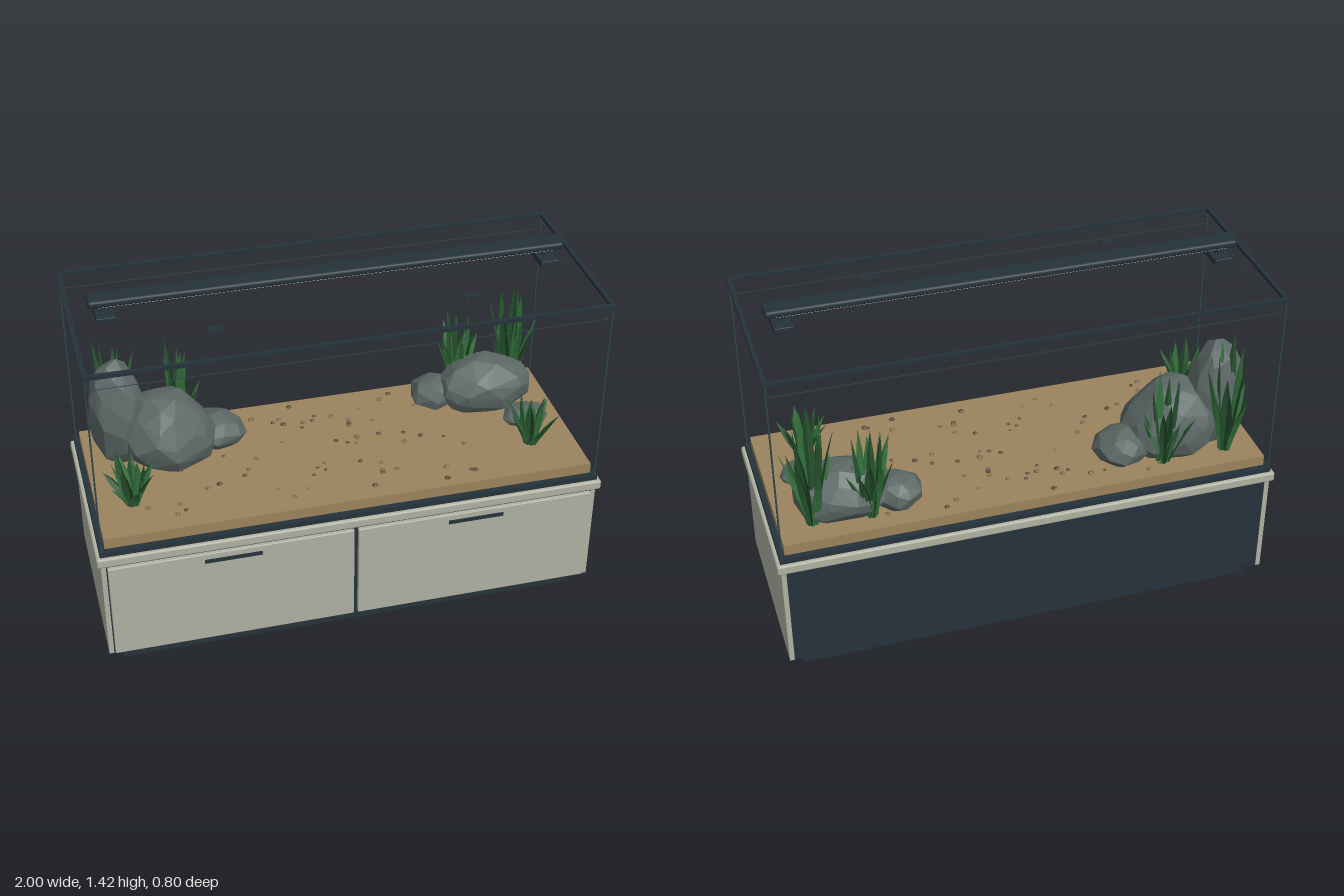
import * as THREE from 'three';
import { mergeGeometries } from 'three/addons/utils/BufferGeometryUtils.js';
import { RoundedBoxGeometry } from 'three/addons/geometries/RoundedBoxGeometry.js';
import { ConvexGeometry } from 'three/addons/geometries/ConvexGeometry.js';

function material(name, color, options = {}) {
  const m = new THREE.MeshStandardMaterial({ color, ...options });
  m.name = name;
  return m;
}

// Small seeded generator
function seeded(seed) {
  return () => {
    seed = (seed * 16807) % 2147483647;
    return seed / 2147483647;
  };
}

export function createModel() {
  const model = new THREE.Group();
  model.name = 'aquarium';

  const dark = material('dark trim', 0x25323b);
  const panel = material('cabinet panel', 0xb0b2a2);
  const sand = material('sand', 0x9c835d);
  const stone = material('stone', 0x5c6866, { flatShading: true });
  const pebbleDark = material('dark pebble', 0x5c4b38, { flatShading: true });
  const pebbleLight = material('light pebble', 0x80694c, { flatShading: true });
  const leafDark = material('dark leaf', 0x24502c, { flatShading: true, side: THREE.DoubleSide });
  const leafLight = material('light leaf', 0x33703b, { flatShading: true, side: THREE.DoubleSide });
  const seal = material('corner seal', 0x2c464c);
  const lampGlow = material('lamp diffuser', 0xd9d3b8);

  const add = (name, geometry, mat, parent = model) => {
    const mesh = new THREE.Mesh(geometry, mat);
    mesh.name = name;
    parent.add(mesh);
    return mesh;
  };
  // Box given by its limits on each axis, optionally with rounded edges
  const box = (name, [x0, x1], [y0, y1], [z0, z1], mat, radius = 0, parent = model) => {
    const size = [x1 - x0, y1 - y0, z1 - z0];
    const g = radius ? new RoundedBoxGeometry(...size, 2, radius) : new THREE.BoxGeometry(...size);
    g.translate((x0 + x1) / 2, (y0 + y1) / 2, (z0 + z1) / 2);
    return add(name, g, mat, parent);
  };
  // Open rectangular frame
  const frame = (name, x, z, width, y, mat) => {
    const group = new THREE.Group();
    group.name = name;
    for (const s of [-1, 1]) {
      const zs = [s * z, s * (z - width)].sort((a, b) => a - b);
      const xs = [s * x, s * (x - width)].sort((a, b) => a - b);
      box(name + 'Long', [-x, x], y, zs, mat, 0, group);
      box(name + 'Short', xs, y, [-z + width, z - width], mat, 0, group);
    }
    model.add(group);
  };

  // Cabinet
  box('plinth', [-0.93, 0.93], [0, 0.065], [-0.34, 0.34], dark);
  box('carcass', [-0.966, 0.966], [0.065, 0.505], [-0.382, 0.378], dark);
  box('worktop', [-1, 1], [0.505, 0.545], [-0.4, 0.4], panel, 0.008);
  for (const s of [-1, 1]) {
    const span = (a, b) => [s * a, s * b].sort((p, q) => p - q);
    box('sidePanel', span(0.966, 0.985), [0.065, 0.505], [-0.385, 0.38], panel);
    box('door', span(0.008, 0.962), [0.075, 0.493], [0.379, 0.398], panel, 0.004);
    box('handle', span(0.372, 0.595), [0.453, 0.468], [0.396, 0.403], dark);
  }

  // Tank base, sand bed, upper rim, water line and corner seals
  box('tankBase', [-0.985, 0.985], [0.545, 0.566], [-0.385, 0.385], dark);
  box('sandBed', [-0.963, 0.963], [0.566, 0.61], [-0.361, 0.361], sand);
  frame('upperRim', 0.985, 0.385, 0.018, [1.328, 1.342], dark);
  frame('waterLine', 0.965, 0.367, 0.002, [1.274, 1.276], seal);
  for (const x of [-0.976, 0.976]) for (const z of [-0.376, 0.376])
    box('cornerSeal', [x - 0.003, x + 0.003], [0.566, 1.328], [z - 0.003, z + 0.003], seal);

  // Lamp with its two feet, and the lid grips
  box('lampBar', [-0.91, 0.91], [1.396, 1.424], [-0.056, 0.028], dark, 0.01);
  box('lampDiffuser', [-0.87, 0.87], [1.393, 1.397], [-0.046, 0.018], lampGlow);
  for (const x of [-0.85, 0.85]) {
    box('lampFoot', [x - 0.036, x + 0.036], [1.342, 1.366], [-0.078, 0.05], dark, 0.003);
    box('lampStem', [x - 0.014, x + 0.014], [1.364, 1.394], [-0.03, 0.002], dark);
    box('lampCollar', [x - 0.03, x + 0.03], [1.386, 1.397], [-0.042, 0.014], dark);
  }
  for (const x of [-0.483, 0.483])
    box('lidGrip', [x - 0.028, x + 0.028], [1.35, 1.356], [0.184, 0.218], dark);

  // Faceted rocks: hull of jittered points on a tapered ellipsoid, cut off inside the sand
  const rock = (name, [cx, cy, cz], [rx, ry, rz], seed, taper = 0, lean = 0, count = 52) => {
    const rand = seeded(seed);
    const points = [];
    for (let i = 0; i < count; i++) {
      const y = 1 - (2 * (i + 0.5)) / count;
      const a = i * 2.39996 + (rand() - 0.5) * 0.5;
      const r = Math.sqrt(1 - y * y) * (1 - taper * y);
      const k = 0.95 + rand() * 0.11;
      points.push(new THREE.Vector3(
        cx + (Math.cos(a) * r * k + lean * y) * rx,
        Math.max(0.595, cy + y * k * ry),
        cz + Math.sin(a) * r * k * rz));
    }
    add(name, new ConvexGeometry(points), stone);
  };
  rock('tallRock', [-0.815, 0.82, -0.152], [0.122, 0.245, 0.108], 11, 0.12, -0.12);
  rock('leftBoulder', [-0.64, 0.72, -0.14], [0.195, 0.175, 0.175], 23, 0.12, -0.12, 64);
  rock('leftSmallRock', [-0.43, 0.655, -0.18], [0.118, 0.075, 0.115], 37, 0, -0.1, 36);
  rock('rightBoulder', [0.695, 0.69, -0.185], [0.2, 0.125, 0.135], 41, 0.1, 0, 60);
  rock('rightSmallRock', [0.49, 0.66, -0.215], [0.1, 0.07, 0.095], 53, 0, 0, 36);
  rock('frontSmallRock', [0.81, 0.645, 0.02], [0.095, 0.042, 0.08], 67, 0, 0, 36);

  // One folded, pointed blade arching outward
  const blade = (angle, height, reach, width, start) => {
    const pos = [], index = [];
    const out = [Math.cos(angle), Math.sin(angle)], side = [-out[1], out[0]];
    const widths = [0.45, 0.85, 1, 0.7, 0.03];
    widths.forEach((w, i) => {
      const t = i / (widths.length - 1);
      const r = start + reach * t ** 1.6;
      const y = height * (t - 0.12 * t * t * (reach / height)) ;
      for (const s of [-1, 0, 1]) {
        const fold = r + Math.abs(s) * w * width * 0.3;
        pos.push(out[0] * fold + side[0] * s * w * width / 2, y,
          out[1] * fold + side[1] * s * w * width / 2);
      }
      if (i) for (const k of [0, 1]) {
        const a = (i - 1) * 3 + k;
        index.push(a, a + 1, a + 3, a + 1, a + 4, a + 3);
      }
    });
    const g = new THREE.BufferGeometry();
    g.setAttribute('position', new THREE.Float32BufferAttribute(pos, 3));
    g.setIndex(index);
    g.computeVertexNormals();
    return g;
  };
  const plant = (name, x, z, height, spread, count, seed) => {
    const rand = seeded(seed);
    const group = new THREE.Group();
    group.name = name;
    group.position.set(x, 0.605, z);
    const sets = [[], []];
    for (let i = 0; i < count; i++) {
      const inner = i % 3 === 0;
      const h = height * (inner ? 0.85 + rand() * 0.15 : 0.5 + rand() * 0.35);
      const reach = spread * (inner ? 0.25 + rand() * 0.3 : 0.65 + rand() * 0.4);
      sets[i % 2].push(blade(i * 2.4 + rand() * 0.5, h, reach, 0.034 + rand() * 0.014, 0.008 + rand() * 0.012));
    }
    add('darkLeaves', mergeGeometries(sets[0]), leafDark, group);
    add('lightLeaves', mergeGeometries(sets[1]), leafLight, group);
    model.add(group);
  };
  plant('backLeftPlant', -0.83, -0.265, 0.52, 0.09, 14, 101);
  plant('backMiddleLeftPlant', -0.57, -0.275, 0.42, 0.1, 13, 211);
  plant('frontLeftPlant', -0.82, 0.17, 0.24, 0.105, 13, 307);
  plant('backMiddleRightPlant', 0.61, -0.275, 0.42, 0.1, 13, 401);
  plant('backRightPlant', 0.83, -0.255, 0.52, 0.1, 15, 503);
  plant('frontRightPlant', 0.78, 0.17, 0.25, 0.105, 13, 601);

  // Pebbles scattered over the sand
  const rand = seeded(977);
  const pebbles = [[], []];
  for (let i = 0; i < 70; i++) {
    const r = 0.006 + rand() * 0.006;
    const g = new THREE.IcosahedronGeometry(r, 0);
    g.rotateY(rand() * 6);
    g.scale(1.2, 0.7, 1);
    g.translate((rand() + rand() - 1) * 0.9, 0.612, (rand() - 0.5) * 0.64);
    pebbles[i % 2].push(g);
  }
  add('darkPebbles', mergeGeometries(pebbles[0]), pebbleDark);
  add('lightPebbles', mergeGeometries(pebbles[1]), pebbleLight);

  return model;
}
